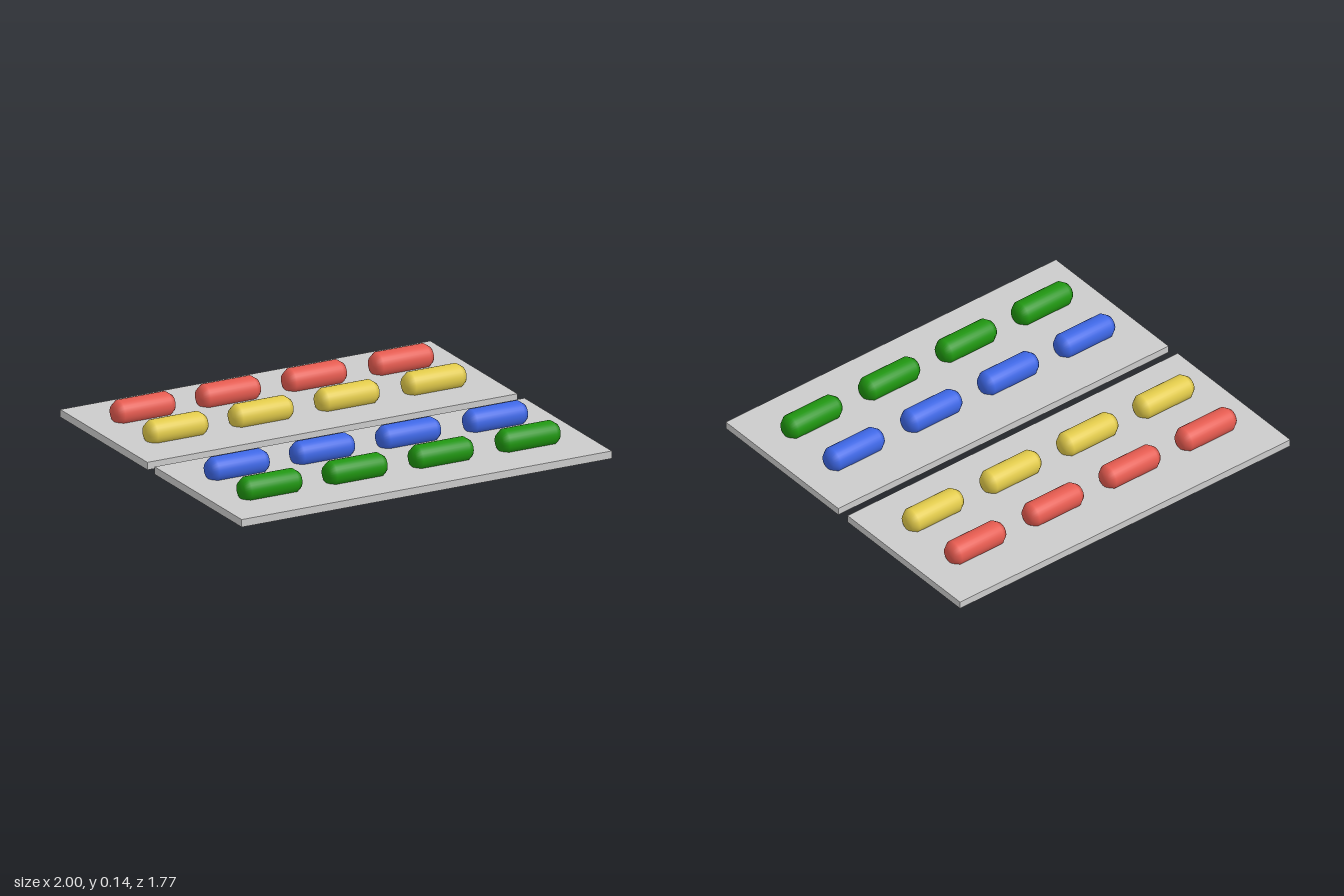
import * as THREE from 'three';

const PLATE = { width: 2, height: 0.038, depth: 0.852, z: 0.461 };
const ROD = { radius: 0.0615, endRadius: 0.041, half: 0.156, bevel: 0.03, y: 0.079 };

// Round bar along x with bevelled, softly shaded ends
function rodGeometry() {
  const { radius, endRadius, half, bevel } = ROD;
  const profile = [
    [0, -half], [endRadius, -half], [radius, -half + bevel],
    [radius, half - bevel], [endRadius, half], [0, half],
  ].map(([r, y]) => new THREE.Vector2(r, y));
  return new THREE.LatheGeometry(profile, 32).rotateZ(-Math.PI / 2);
}

export function createModel() {
  const model = new THREE.Group();
  model.name = 'platesWithRods';

  // Two flat base plates separated by a narrow gap
  const grey = new THREE.MeshStandardMaterial({ color: 0xcccccc });
  const plateGeometry = new THREE.BoxGeometry(PLATE.width, PLATE.height, PLATE.depth);
  for (const [name, side] of [['frontPlate', 1], ['backPlate', -1]]) {
    const plate = new THREE.Mesh(plateGeometry, grey);
    plate.name = name;
    plate.position.set(0, PLATE.height / 2, side * PLATE.z);
    model.add(plate);
  }

  // Four coloured rows of four rods
  const rows = [
    ['greenRow', 0x1f9410, 0.624],
    ['blueRow', 0x3d66e3, 0.305],
    ['yellowRow', 0xe0c94a, -0.295],
    ['redRow', 0xe35a4f, -0.615],
  ];
  const columns = [-0.705, -0.244, 0.221, 0.691];
  const geometry = rodGeometry();
  for (const [name, color, z] of rows) {
    const row = new THREE.Group();
    row.name = name;
    const material = new THREE.MeshStandardMaterial({ color });
    columns.forEach((x, i) => {
      const rod = new THREE.Mesh(geometry, material);
      rod.name = `rod${i + 1}`;
      rod.position.set(x, ROD.y, z);
      row.add(rod);
    });
    model.add(row);
  }
  return model;
}
